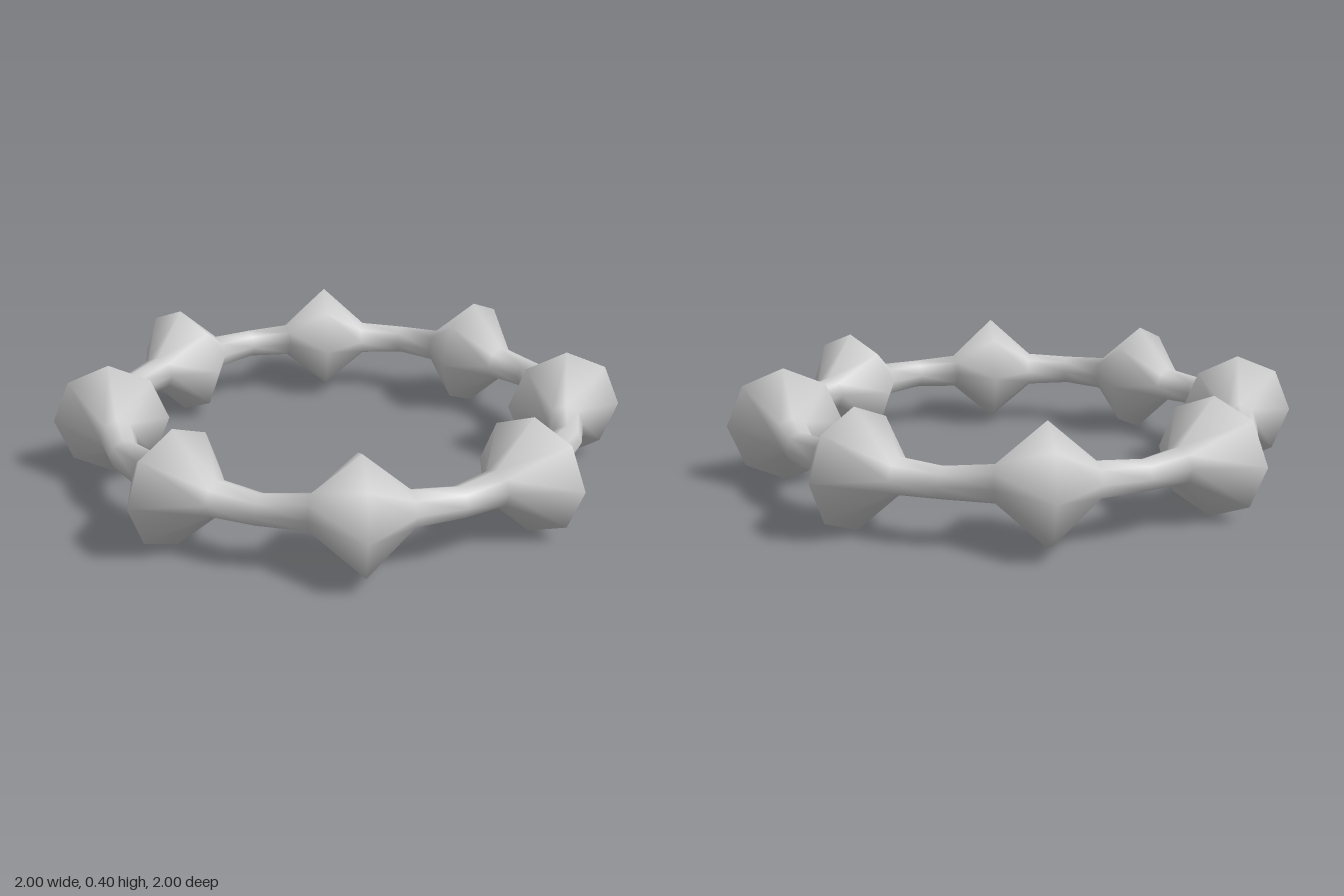
import * as THREE from 'three';

// Ring centre distance and tube radius, repeating every four sections
const SECTIONS = [
  { R: 0.8, r: 0.2 },      // spiked bead
  { R: 0.785, r: 0.062 },  // bead shoulder
  { R: 0.8, r: 0.053 },    // middle of the link
  { R: 0.785, r: 0.062 },  // next shoulder
];
const RINGS = 32;
const SIDES = 8;

// Closed, smooth octagonal tube swept round the y axis
function beadedRingGeometry() {
  const positions = [];
  const indices = [];
  for (let i = 0; i < RINGS; i++) {
    const t = (i / RINGS) * Math.PI * 2;
    const { R, r } = SECTIONS[i % SECTIONS.length];
    for (let j = 0; j < SIDES; j++) {
      const p = (j / SIDES) * Math.PI * 2;
      const d = R + r * Math.cos(p);
      positions.push(d * Math.cos(t), 0.2 + r * Math.sin(p), d * Math.sin(t));

      const i2 = (i + 1) % RINGS;
      const j2 = (j + 1) % SIDES;
      const a = i * SIDES + j;
      const b = i * SIDES + j2;
      const c = i2 * SIDES + j2;
      const e = i2 * SIDES + j;
      indices.push(a, b, c, a, c, e);
    }
  }
  const geometry = new THREE.BufferGeometry();
  geometry.setAttribute('position', new THREE.Float32BufferAttribute(positions, 3));
  geometry.setIndex(indices);
  geometry.computeVertexNormals();
  return geometry;
}

export function createModel() {
  const group = new THREE.Group();
  group.name = 'beadedRingModel';
  const ring = new THREE.Mesh(
    beadedRingGeometry(),
    new THREE.MeshStandardMaterial({ color: 0xcccccc })
  );
  ring.name = 'beadedRing';
  group.add(ring);
  return group;
}
